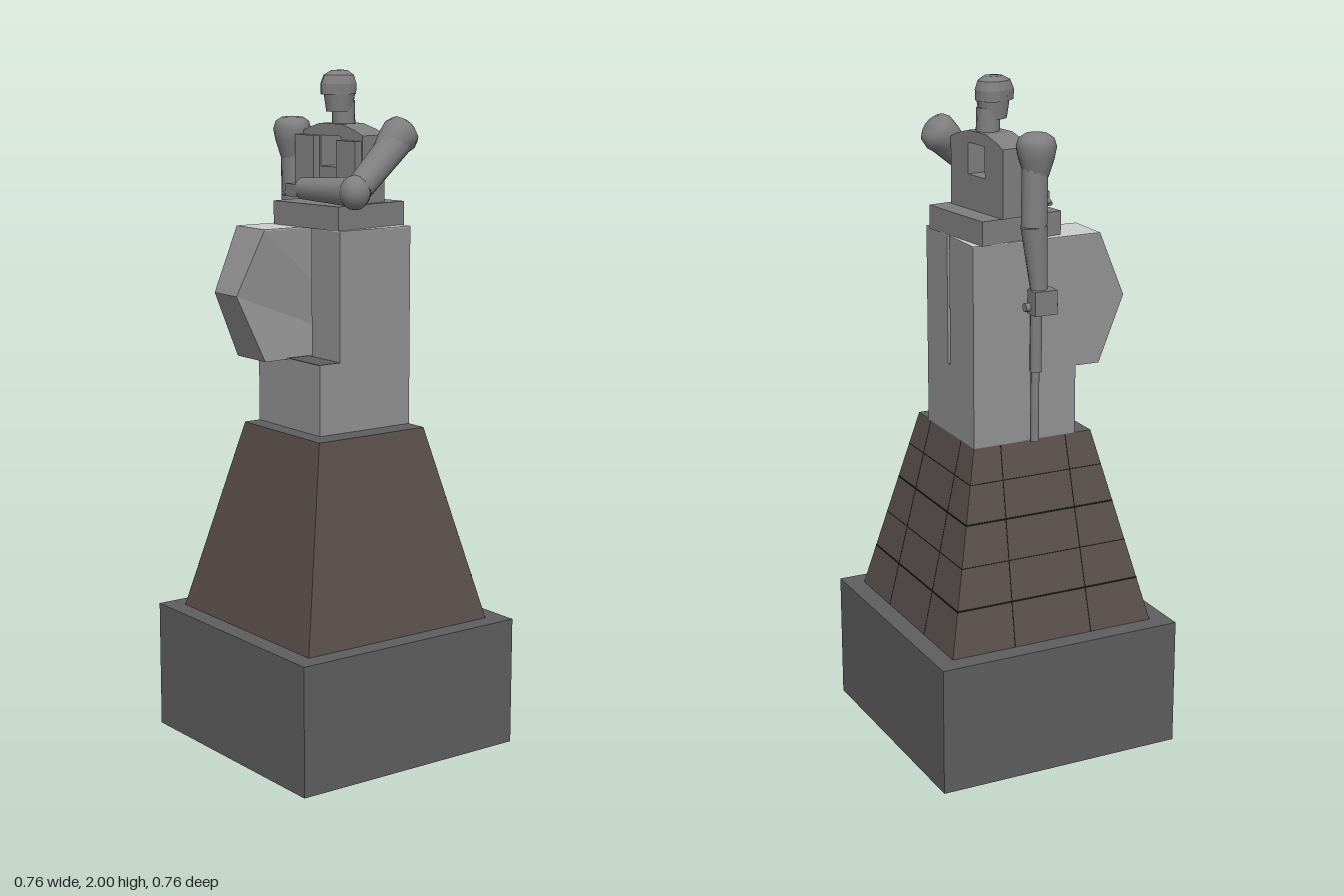
import * as THREE from 'three';

const mat = (color, flatShading = true) => new THREE.MeshStandardMaterial({ color, flatShading });
const STONE = mat(0x929292), PALE = mat(0xc4c4c4), FIGURE = mat(0x7e7e7e), ROUND = mat(0x808080, false);
const PLINTH = mat(0x5e5e5e), BROWN = mat(0x594e4c), SEAM = mat(0x1c1918);
const UP = new THREE.Vector3(0, 1, 0);
const V = (p) => new THREE.Vector3(...p);
const points = (list) => list.map((p) => new THREE.Vector2(...p));

export function createModel() {
  const root = new THREE.Group();
  root.name = 'statue';

  const add = (name, geo, material, parent = root) => {
    const m = new THREE.Mesh(geo, material);
    m.name = name;
    parent.add(m);
    return m;
  };
  // Box given by its minimum and maximum corners
  const box = (name, a, b, material, parent) => {
    const m = add(name, new THREE.BoxGeometry(b[0] - a[0], b[1] - a[1], b[2] - a[2]), material, parent);
    m.position.set((a[0] + b[0]) / 2, (a[1] + b[1]) / 2, (a[2] + b[2]) / 2);
    return m;
  };
  // Stretch a mesh built along y between a and b
  const span = (m, a, b) => {
    const d = V(b).sub(V(a));
    m.position.copy(V(a)).addScaledVector(d, 0.5);
    m.quaternion.setFromUnitVectors(UP, d.normalize());
  };
  // Tapered round limb from a to b
  const limb = (name, a, b, ra, rb, sides = 12) =>
    span(add(name, new THREE.CylinderGeometry(rb, ra, V(a).distanceTo(V(b)), sides), ROUND), a, b);
  const ball = (name, p, r) => {
    const m = add(name, new THREE.SphereGeometry(1, 12, 8), ROUND);
    m.position.set(...p);
    m.scale.set(...r);
  };
  // Broad shoulder muscle narrowing into the arm, tilted about z
  const shoulder = (name, p, tilt) => {
    const profile = [[0.034, -0.07], [0.05, -0.02], [0.057, 0.015], [0.05, 0.038], [0.032, 0.05], [0, 0.053]];
    const m = add(name, new THREE.LatheGeometry(points(profile), 12), ROUND);
    m.position.set(...p);
    m.rotation.z = tilt;
  };

  // Plinth and sloping pedestal with a grey top
  box('plinth', [-0.382, 0, -0.382], [0.382, 0.385, 0.382], PLINTH);
  const taper = new THREE.CylinderGeometry(0.19 * Math.SQRT2, 0.325 * Math.SQRT2, 0.575, 4);
  taper.rotateY(Math.PI / 4);
  add('pedestal', taper, BROWN).position.y = 0.6725;
  box('pedestalTop', [-0.19, 0.957, -0.19], [0.19, 0.962, 0.19], PLINTH);

  // Block joints on two faces of the pedestal
  const half = (y) => 0.325 - (y - 0.385) * (0.135 / 0.575);
  for (const turn of [Math.PI / 2, Math.PI]) {
    const joints = new THREE.Group();
    joints.name = 'pedestalJoints';
    joints.rotation.y = turn;
    root.add(joints);
    for (const [y, h] of [[0.515, 0.0025], [0.632, 0.001], [0.75, 0.0025], [0.86, 0.001]]) {
      box('joint', [-half(y), y - h, half(y) - 0.004], [half(y), y + h, half(y) + 0.0008], SEAM, joints);
    }
    for (const s of [-1, 1]) {
      const a = [s * 0.125, 0.385, 0.325], b = [s * 0.105, 0.96, 0.19];
      span(add('joint', new THREE.BoxGeometry(0.003, 0.59, 0.001), SEAM, joints), a, b);
    }
  }

  // Lower body: a block that splits into two upright slabs with a slot between
  box('lowerBlock', [-0.137, 0.96, -0.19], [0.19, 1.17, 0.12], STONE);
  box('stepTop', [-0.137, 1.168, -0.035], [-0.065, 1.171, 0.12], PLINTH);
  box('leftSlab', [-0.065, 1.17, -0.02], [0.19, 1.55, 0.12], STONE);
  box('leftSlabTop', [-0.065, 1.548, -0.02], [0.19, 1.551, 0.12], PALE);

  // Right slab, with the bent knee projecting towards -x
  const knee = new THREE.Shape(points([[0.19, 1.17], [0.19, 1.55], [-0.213, 1.55], [-0.292, 1.36], [-0.213, 1.165]]));
  const kneeGeo = new THREE.ExtrudeGeometry(knee, { depth: 0.155, bevelEnabled: false });
  kneeGeo.translate(0, 0, -0.19);
  const pos = kneeGeo.attributes.position;
  for (let i = 0; i < pos.count; i++) {
    const x = pos.getX(i);
    if (pos.getZ(i) > -0.1 && x < -0.2) pos.setZ(i, x < -0.25 ? -0.075 : -0.045);
  }
  kneeGeo.computeVertexNormals();
  add('rightSlabAndKnee', kneeGeo, STONE);
  const lid = new THREE.Shape(points([[-0.213, 0.045], [0.19, 0.035], [0.19, 0.19], [-0.213, 0.19]]));
  const lidGeo = new THREE.ExtrudeGeometry(lid, { depth: 0.003, bevelEnabled: false });
  lidGeo.rotateX(-Math.PI / 2);
  add('rightSlabTop', lidGeo, PALE).position.y = 1.548;

  // Upper body, turned slightly on the pillar
  const upper = new THREE.Group();
  upper.name = 'upperBody';
  upper.position.set(0.05, 0, -0.043);
  upper.rotation.y = 0.13;
  root.add(upper);
  box('waist', [-0.133, 1.55, -0.138], [0.133, 1.62, 0.138], FIGURE, upper);

  // Torso pierced by a square opening
  const chest = new THREE.Shape(points([[-0.145, 1.62], [0.12, 1.62], [0.12, 1.815], [0.085, 1.83], [0.03, 1.845],
    [-0.06, 1.845], [-0.11, 1.83], [-0.145, 1.815]]));
  chest.holes.push(new THREE.Path(points([[-0.055, 1.72], [-0.055, 1.81], [0.03, 1.81], [0.03, 1.72]])));
  const chestGeo = new THREE.ExtrudeGeometry(chest, { depth: 0.09, bevelEnabled: false });
  chestGeo.rotateY(-Math.PI / 2).translate(0.07, 0, 0);
  add('torso', chestGeo, FIGURE, upper);
  box('rightBreast', [-0.045, 1.64, -0.14], [-0.015, 1.81, -0.06], FIGURE, upper);
  box('leftBreast', [-0.045, 1.64, 0.035], [-0.015, 1.8, 0.115], FIGURE, upper);

  // Neck, face and a cap drawn out to a peak towards -x
  limb('neck', [0.078, 1.82, -0.055], [0.075, 1.91, -0.055], 0.034, 0.034);
  const head = add('face', new THREE.CylinderGeometry(0.045, 0.036, 0.065, 12), ROUND);
  head.position.set(0.061, 1.912, -0.055);
  head.scale.x = 1.1;
  const cap = new THREE.LatheGeometry(points([[0, 1.93], [0.047, 1.93], [0.048, 1.96], [0.04, 1.985], [0.022, 1.998], [0, 2]]), 16);
  const cp = cap.attributes.position;
  for (let i = 0; i < cp.count; i++) {
    const x = cp.getX(i);
    if (x < 0) cp.setXYZ(i, x * 1.4, cp.getY(i), cp.getZ(i) * (1 + x * 6));
  }
  cap.computeVertexNormals();
  add('cap', cap, FIGURE).position.set(0.064, 0, -0.055);

  // Left arm, folded across the lap
  shoulder('leftShoulder', [0.135, 1.808, 0.123], -0.89);
  limb('leftUpperArm', [0.14, 1.805, 0.125], [-0.015, 1.675, 0.145], 0.048, 0.041);
  ball('leftElbow', [-0.035, 1.662, 0.15], [0.046, 0.05, 0.045]);
  limb('leftForearm', [-0.03, 1.662, 0.15], [-0.05, 1.658, -0.085], 0.044, 0.032);
  box('leftHand', [-0.08, 1.635, -0.13], [-0.03, 1.672, -0.075], FIGURE);
  for (let i = 0; i < 3; i++) {
    const x = -0.072 + i * 0.016;
    limb('leftFinger', [x, 1.65, -0.125], [x, 1.64, -0.152 - i * 0.007], 0.009, 0.007, 6);
  }

  // Right arm, hanging down to a walking stick
  shoulder('rightShoulder', [0.012, 1.808, -0.225], 0);
  limb('rightUpperArm', [0.015, 1.8, -0.224], [0.02, 1.6, -0.228], 0.038, 0.038);
  limb('rightForearm', [0.02, 1.6, -0.228], [0.005, 1.41, -0.232], 0.038, 0.024);
  box('rightHand', [-0.035, 1.35, -0.268], [0.035, 1.42, -0.218], FIGURE);
  limb('stickHandle', [-0.05, 1.37, -0.23], [0.05, 1.37, -0.23], 0.013, 0.013, 8);
  limb('stickUpper', [0, 1.17, -0.203], [0, 1.37, -0.206], 0.018, 0.018, 8);
  limb('stickLower', [0, 0.96, -0.2], [0, 1.17, -0.2], 0.013, 0.013, 8);

  return root;
}
